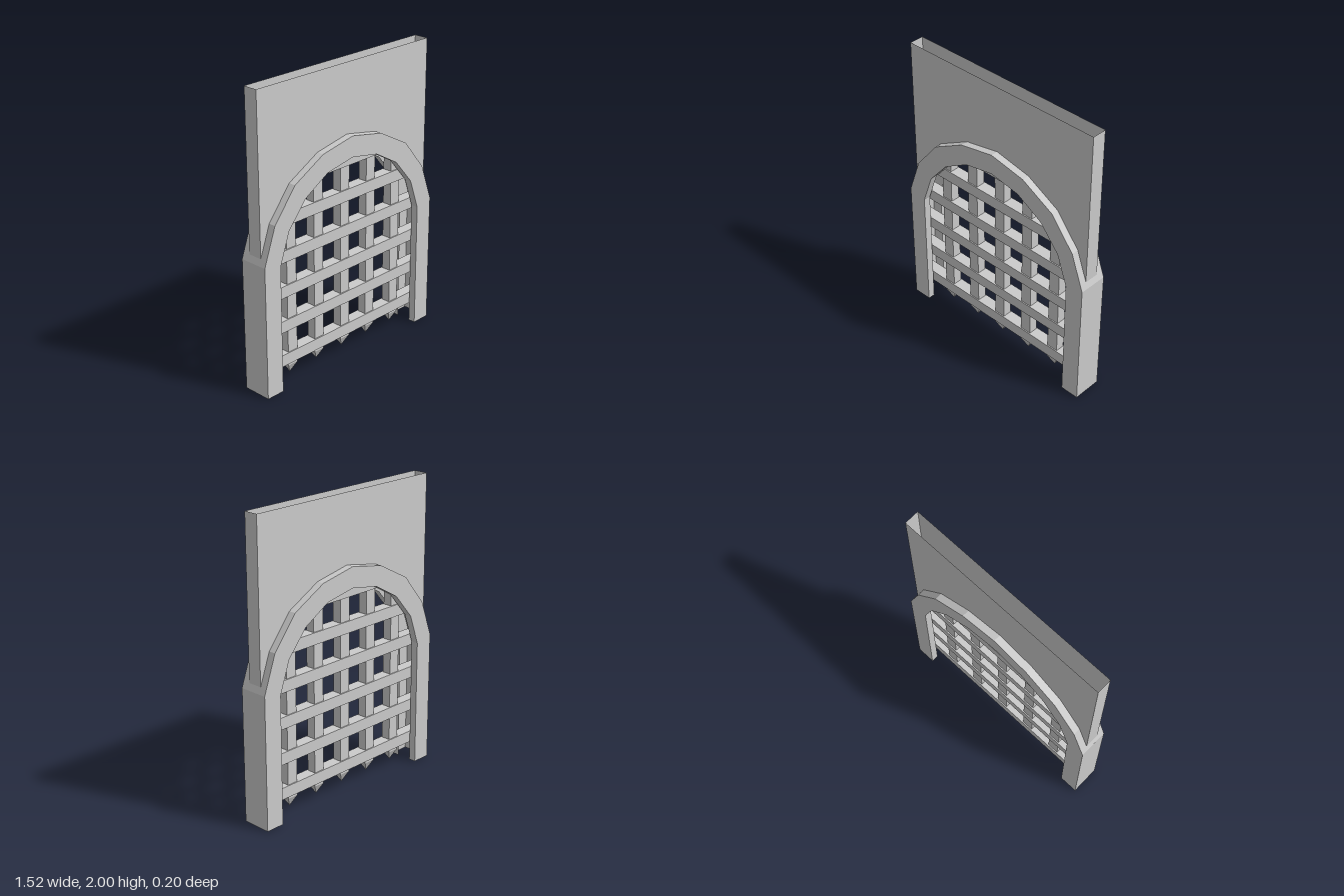
import * as THREE from 'three';

const material = new THREE.MeshStandardMaterial({ color: 0xcccccc, flatShading: true, side: THREE.DoubleSide });

// half profiles from the ground up to the crown
const outerHalf = [[0.76, 0], [0.76, 0.9], [0.745, 0.943], [0.67, 1.15], [0.5, 1.36], [0.26, 1.49], [0, 1.54]];
const innerHalf = [[0.63, 0], [0.63, 0.87], [0.555, 1.08], [0.41, 1.25], [0.22, 1.36], [0, 1.4]];
const DEPTH = 0.1, SLOT = 0.05, WALL_X = 0.745, TOP = 2;

// mirrors a half profile into a full arch running from +x over the top to -x
const mirror = (half) => [...half, ...half.slice(0, -1).reverse().map(([x, y]) => [-x, y])];

// sweeps a path along z into a thin strip, facing right of its direction
function strip(path, z0, z1) {
  const p = [];
  for (let i = 0; i + 1 < path.length; i++) {
    const [ax, ay] = path[i], [bx, by] = path[i + 1];
    p.push(ax, ay, z0, bx, by, z0, bx, by, z1, ax, ay, z0, bx, by, z1, ax, ay, z1);
  }
  const g = new THREE.BufferGeometry();
  g.setAttribute('position', new THREE.Float32BufferAttribute(p, 3));
  g.computeVertexNormals();
  return g;
}

// flat outline facing the front or the back
function panel(points, z) {
  const g = new THREE.ShapeGeometry(new THREE.Shape(points.map(([x, y]) => new THREE.Vector2(x, y))));
  if (z < 0) g.rotateY(Math.PI);
  return g.translate(0, 0, z);
}

export function createModel() {
  const model = new THREE.Group();
  const add = (parent, name, geometry, x = 0, y = 0, z = 0) => {
    const mesh = new THREE.Mesh(geometry, material);
    mesh.name = name;
    mesh.position.set(x, y, z);
    parent.add(mesh);
    return mesh;
  };
  const group = (name) => {
    const g = new THREE.Group();
    g.name = name;
    model.add(g);
    return g;
  };

  // hollow arch frame, slotted for the grille and open under the legs
  const arch = group('archFrame');
  const outer = mirror(outerHalf), inner = mirror(innerHalf);
  const innerBack = [...inner].reverse();
  for (const s of [1, -1]) {
    const z0 = s > 0 ? SLOT : -DEPTH, z1 = s > 0 ? DEPTH : -SLOT;
    add(arch, s > 0 ? 'archFront' : 'archBack', panel([...outer, ...innerBack], s * DEPTH));
    add(arch, 'archOuterSurface', strip(outer, z0, z1));
    add(arch, 'archInnerSurface', strip(innerBack, z0, z1));
  }
  add(arch, 'leftLegOuterSide', strip(outer.slice(0, 3), -SLOT, SLOT));
  add(arch, 'rightLegOuterSide', strip(outer.slice(-3), -SLOT, SLOT));

  // thin hollow wall above the arch, open at the top
  const wall = group('wall');
  const wallOutline = [...outer.slice(2, -2), [-WALL_X, TOP], [WALL_X, TOP]];
  add(wall, 'wallFront', panel(wallOutline, SLOT));
  add(wall, 'wallBack', panel(wallOutline, -SLOT));
  const wallBase = outerHalf[2][1];
  add(wall, 'wallLeftSide', strip([[WALL_X, wallBase], [WALL_X, TOP]], -SLOT, SLOT));
  add(wall, 'wallRightSide', strip([[-WALL_X, TOP], [-WALL_X, wallBase]], -SLOT, SLOT));

  // sliding grille: crossbars, uprights and pointed feet
  const grille = group('grille');
  for (let i = 0; i < 6; i++) {
    const width = i === 5 ? 1.3 : 1.47;
    add(grille, 'crossbar', new THREE.BoxGeometry(width, 0.08, 0.08), 0, 0.167 + i * 0.239, 0);
  }
  for (let i = -2; i <= 2; i++) {
    const x = i * 0.238;
    add(grille, 'upright', new THREE.BoxGeometry(0.08, 1.28, 0.064), x, 0.75, 0);
    const spike = new THREE.ConeGeometry(0.04 * Math.SQRT2, 0.07, 4, 1, true).rotateY(Math.PI / 4).rotateX(Math.PI);
    add(grille, 'spike', spike.scale(1, 1, 0.8), x, 0.075, 0);
  }
  return model;
}
